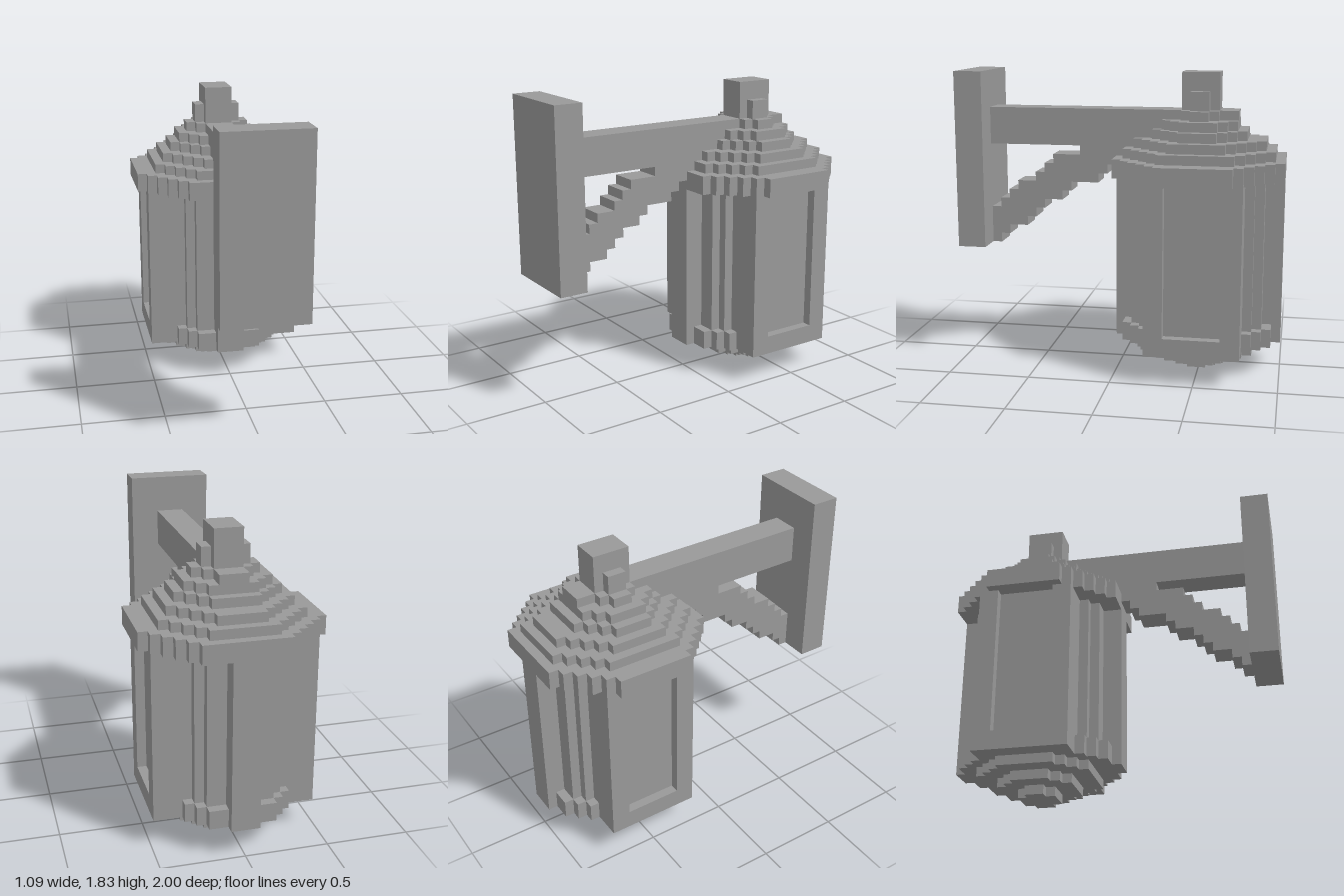
import * as THREE from 'three';

const U = 2 / 35;   // size of one block
const CZ = -8.5;    // lantern axis in z, in blocks

export function createModel() {
  const group = new THREE.Group();
  const grey = new THREE.MeshStandardMaterial({ color: 0x999999, name: 'grey' });

  function add(name, geometry) {
    geometry.scale(U, U, U);
    const mesh = new THREE.Mesh(geometry, grey);
    mesh.name = name;
    group.add(mesh);
  }

  function box(name, x0, x1, y0, y1, z0, z1) {
    const g = new THREE.BoxGeometry(x1 - x0, y1 - y0, z1 - z0);
    g.translate((x0 + x1) / 2, (y0 + y1) / 2, (z0 + z1) / 2);
    add(name, g);
  }

  // Slab with a stepped outline; rows are [distance from axis in z, half width in x]
  function slab(name, y0, y1, rows) {
    const quarter = [];
    let d = 0;
    for (const [end, hw] of rows) {
      if (d > 0) quarter.push([hw, d]);
      quarter.push([hw, end]);
      d = end;
    }
    const back = [...quarter].reverse();
    const pts = [
      ...quarter.map(([x, z]) => new THREE.Vector2(x, z)),
      ...back.map(([x, z]) => new THREE.Vector2(-x, z)),
      ...quarter.map(([x, z]) => new THREE.Vector2(-x, -z)),
      ...back.map(([x, z]) => new THREE.Vector2(x, -z)),
    ];
    const g = new THREE.ExtrudeGeometry(new THREE.Shape(pts), { depth: y1 - y0, bevelEnabled: false });
    g.rotateX(-Math.PI / 2);
    g.translate(0, y0, CZ);
    add(name, g);
  }

  // Octagonal slab: straight sides up to `flat`, then one-block diagonal steps
  function octagon(name, y0, y1, hw, flat, half) {
    const rows = [[flat, hw]];
    for (let d = flat + 1; d <= half; d++) rows.push([d, hw - (d - flat)]);
    slab(name, y0, y1, rows);
  }

  // Stepped underside
  octagon('bottomTip', 0, 1, 2.5, 1, 2);
  octagon('bottomMiddle', 1, 2, 4.5, 2, 4);
  octagon('bottomUpper', 2, 3, 6.5, 3, 6);

  // Six-sided body: sill ring below, recessed panes between posts above
  slab('bodySill', 3, 5, [[5, 8.5], [6, 5.5], [7, 4.5], [8, 3.5], [9, 1.5]]);
  slab('bodyPanes', 5, 21, [[3, 7.5], [5, 8.5], [6, 4.5], [7, 3.5], [9, 1.5]]);

  // Stepped roof
  octagon('roofEave', 21, 23, 9.5, 4, 9);
  [[7.5, 4, 8], [6.5, 3, 7], [5.5, 2, 5], [4.5, 2, 4], [3.5, 1, 3]].forEach(([hw, flat, half], i) =>
    octagon('roofStep' + (i + 1), 23 + i, 24 + i, hw, flat, half));

  // Finial with a small lug on each side
  box('finial', -1.5, 1.5, 28, 32, CZ - 2, CZ + 2);
  box('finialLugLeft', 1.5, 2.5, 28, 30, CZ - 1, CZ + 1);
  box('finialLugRight', -2.5, -1.5, 28, 30, CZ - 1, CZ + 1);

  // Wall plate and arm
  box('wallPlate', -4.5, 4.5, 13, 32, 14.5, 17.5);
  box('arm', -1.5, 1.5, 24, 28, CZ - 4, 14.5);

  // Diagonal brace: [back z, front z] for each row of blocks
  const rows = [[13.5, 14.5], [12.5, 14.5], [10.5, 14.5], [9.5, 14.5], [8.5, 13.5], [6.5, 12.5],
    [5.5, 11.5], [2.5, 9.5], [1.5, 8.5], [0.5, 7.5], [-0.5, 4.5]];
  const front = [], rear = [];
  rows.forEach(([b, f], i) => {
    const y = 13 + i;
    front.push(new THREE.Vector2(f, y), new THREE.Vector2(f, y + 1));
    rear.push(new THREE.Vector2(b, y), new THREE.Vector2(b, y + 1));
  });
  const brace = new THREE.ExtrudeGeometry(new THREE.Shape([...front, ...rear.reverse()]),
    { depth: 3, bevelEnabled: false });
  brace.rotateY(-Math.PI / 2);
  brace.translate(1.5, 0, 0);
  add('brace', brace);

  return group;
}
